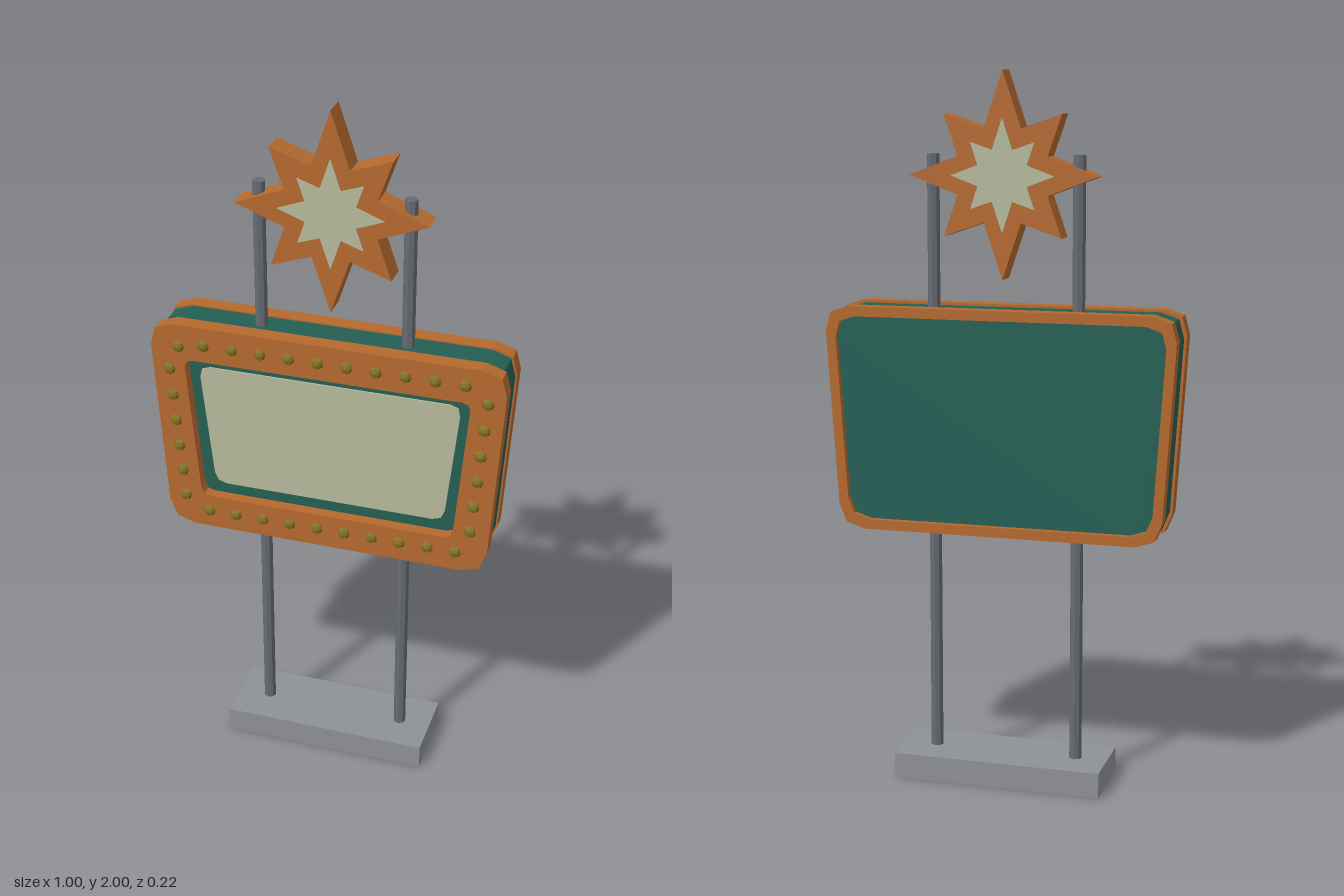
import * as THREE from 'three';

const paint = (name, color) => Object.assign(new THREE.MeshStandardMaterial({ color, flatShading: true }), { name });

// Symmetric trapezoid with clipped-round corners
function trapezoid(topW, botW, y0, y1, r) {
  const corners = [[-botW, y0], [botW, y0], [topW, y1], [-topW, y1]].map(([x, y]) => new THREE.Vector2(x, y));
  const shape = new THREE.Shape();
  corners.forEach((c, i) => {
    const toward = (o) => c.clone().add(o.clone().sub(c).setLength(r));
    const a = toward(corners[(i + 3) % 4]);
    const b = toward(corners[(i + 1) % 4]);
    if (i === 0) shape.moveTo(a.x, a.y);
    else shape.lineTo(a.x, a.y);
    shape.quadraticCurveTo(c.x, c.y, b.x, b.y);
  });
  shape.closePath();
  return shape;
}

// Eight-pointed star with longer upright and level points
function star(up, side, diagonal, notch) {
  const points = [];
  for (let i = 0; i < 16; i++) {
    const a = (i * Math.PI) / 8;
    const r = i % 2 ? notch : i % 4 ? diagonal : i % 8 ? up : side;
    points.push(new THREE.Vector2(Math.cos(a) * r, Math.sin(a) * r));
  }
  return new THREE.Shape(points);
}

function slab(shape, z0, z1, hole) {
  if (hole) shape.holes.push(hole);
  const g = new THREE.ExtrudeGeometry(shape, { depth: z1 - z0, bevelEnabled: false, curveSegments: 2 });
  return g.translate(0, 0, z0);
}

export function createModel() {
  const model = new THREE.Group();
  const orange = paint('orange', 0xb5692e);
  const teal = paint('teal', 0x245f54);
  const cream = paint('cream', 0xb6b99c);
  const concrete = paint('concrete', 0x8e9196);
  const steel = paint('steel', 0x666b73);
  const gold = paint('gold', 0x80701f);

  const add = (name, geometry, material, parent = model) => {
    const mesh = new THREE.Mesh(geometry, material);
    mesh.name = name;
    parent.add(mesh);
    return mesh;
  };

  // Base and posts
  add('base', new THREE.BoxGeometry(0.6, 0.072, 0.22), concrete).position.y = 0.036;
  for (const s of [1, -1]) {
    const post = add(s > 0 ? 'leftPost' : 'rightPost', new THREE.CylinderGeometry(0.018, 0.018, 1.705, 8), steel);
    post.position.set(s * 0.207, 0.9225, 0);
  }

  // Sign cabinet with front and back frames
  const sign = new THREE.Group();
  sign.name = 'sign';
  model.add(sign);
  add('cabinet', slab(trapezoid(0.496, 0.456, 0.73, 1.353, 0.07), -0.072, 0.055), teal, sign);
  add('frontFrame', slab(trapezoid(0.504, 0.463, 0.722, 1.36, 0.07), 0.042, 0.088,
    trapezoid(0.405, 0.367, 0.823, 1.256, 0.025)), orange, sign);
  add('backFrame', slab(trapezoid(0.501, 0.46, 0.725, 1.357, 0.07), -0.09, -0.046,
    trapezoid(0.472, 0.434, 0.753, 1.329, 0.06)), orange, sign);
  add('screen', slab(trapezoid(0.373, 0.334, 0.857, 1.226, 0.032), 0.055, 0.06), cream, sign);

  // Bulbs in rows around the front frame: start, end, count
  const bulbs = new THREE.Group();
  bulbs.name = 'bulbs';
  sign.add(bulbs);
  const rows = [
    [-0.347, 1.307, 0.387, 1.307, 10],
    [-0.347, 0.774, 0.377, 0.78, 10],
    [-0.448, 1.222, -0.417, 0.817, 6],
    [0.45, 1.262, 0.417, 0.855, 6],
    [-0.42, 1.295, -0.42, 1.295, 1],
  ];
  const bulbShape = new THREE.SphereGeometry(0.018, 8, 4).rotateX(Math.PI / 2).scale(1, 1, 0.7);
  for (const [x0, y0, x1, y1, n] of rows) {
    for (let i = 0; i < n; i++) {
      const t = n > 1 ? i / (n - 1) : 0;
      add('bulb', bulbShape, gold, bulbs).position.set(x0 + (x1 - x0) * t, y0 + (y1 - y0) * t, 0.088);
    }
  }

  // Star topper with a cream inlay on both faces
  const topper = new THREE.Group();
  topper.name = 'starTopper';
  topper.position.y = 1.718;
  model.add(topper);
  add('starBody', slab(star(0.282, 0.265, 0.235, 0.137), -0.035, 0.033), orange, topper);
  add('starFrontInlay', slab(star(0.155, 0.146, 0.128, 0.075), 0.032, 0.036), cream, topper);
  add('starBackInlay', slab(star(0.155, 0.146, 0.128, 0.075), -0.038, -0.034), cream, topper);

  return model;
}
